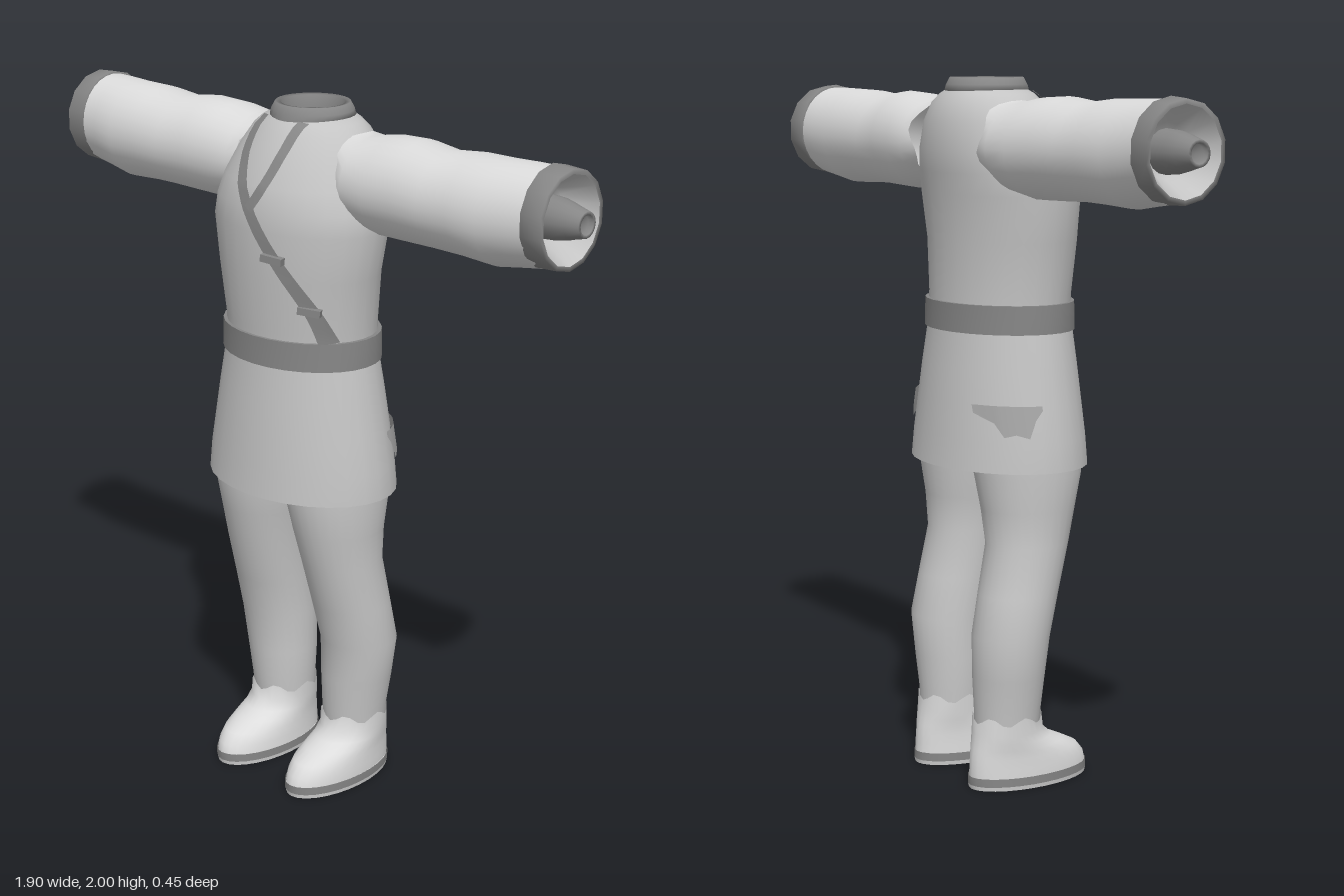
import * as THREE from 'three';

const mat = (name, color) => {
  const m = new THREE.MeshStandardMaterial({ color, side: THREE.DoubleSide });
  m.name = name;
  return m;
};

// Grid of points (rows of equal length) to a smooth surface
function grid(rows, closed) {
  const n = rows[0].length, pos = rows.flat(2), idx = [];
  for (let i = 0; i < rows.length - 1; i++) {
    for (let j = 0; j < (closed ? n : n - 1); j++) {
      const k = (j + 1) % n, a = i * n + j, b = i * n + k, c = a + n, d = b + n;
      idx.push(a, c, b, b, c, d);
    }
  }
  const g = new THREE.BufferGeometry();
  g.setAttribute('position', new THREE.Float32BufferAttribute(pos, 3));
  g.setIndex(idx);
  g.computeVertexNormals();
  return g;
}

// Oval sections [along, u0, u1, v0, v1]; axis y uses u = x, v = z; axis x uses u = y, v = z
function loft(rings, axis = 'y', wave = () => 0, sides = 28) {
  return grid(rings.map(([t, u0, u1, v0, v1], i) =>
    Array.from({ length: sides }, (_, j) => {
      const a = (j / sides) * Math.PI * 2, s = t + wave(i, a);
      const u = (u0 + u1) / 2 + (u1 - u0) / 2 * Math.cos(a);
      const dv = (v1 - v0) / 2 * Math.sin(a), v = (v0 + v1) / 2;
      return axis === 'y' ? [u, s, v + dv] : [s, u, v - dv];
    })), true);
}

// Symmetric body sections: [y, half width, back z, front z]
const sym = list => list.map(([y, w, b, f]) => [y, -w, w, b, f]);
const torsoRings = sym([
  [1.30, .235, -.18, .185], [1.40, .237, -.177, .19], [1.55, .255, -.177, .203],
  [1.68, .278, -.188, .205], [1.74, .270, -.197, .20], [1.80, .25, -.205, .185],
  [1.88, .212, -.20, .145], [1.93, .18, -.18, .11], [1.955, .15, -.16, .088], [1.97, .11, -.145, .07],
]);
const skirtRings = sym([
  [.92, .305, -.222, .228], [1.0, .298, -.215, .222], [1.1, .28, -.205, .213],
  [1.2, .262, -.195, .204], [1.31, .24, -.182, .193],
]);

// Section of a lofted body at height y
function sectionAt(rings, y) {
  let i = 0;
  while (i < rings.length - 2 && rings[i + 1][0] < y) i++;
  const t = THREE.MathUtils.clamp((y - rings[i][0]) / (rings[i + 1][0] - rings[i][0]), 0, 1);
  return rings[i].map((v, k) => THREE.MathUtils.lerp(v, rings[i + 1][k], t));
}
function frontZ(x, y) {
  const [, , w, b, f] = sectionAt(torsoRings, y);
  return (b + f) / 2 + (f - b) / 2 * Math.sqrt(Math.max(0, 1 - (x / w) ** 2));
}
function sideX(y, z) {
  const [, , w, b, f] = sectionAt(skirtRings, y);
  return w * Math.sqrt(Math.max(0, 1 - ((z - (b + f) / 2) / ((f - b) / 2)) ** 2));
}

export function createModel() {
  const root = new THREE.Group();
  root.name = 'outfit';
  const pale = mat('paleCloth', 0xdcdcdc), tunic = mat('tunicCloth', 0xc4c4c4);
  const trouser = mat('trouserCloth', 0xc8c8c8), trim = mat('darkTrim', 0x868686);
  const patch = mat('pocketCloth', 0xa6a6a6);
  const add = (parent, name, geo, m) => {
    const mesh = new THREE.Mesh(geo, m);
    mesh.name = name;
    parent.add(mesh);
    return mesh;
  };

  // Tunic, belt and collar
  add(root, 'tunic', loft(torsoRings), tunic);
  add(root, 'skirt', loft(skirtRings), tunic);
  const belt = sym([[1.30, .25, -.19, .2], [1.38, .248, -.188, .198]]);
  add(root, 'belt', loft(belt), trim);
  for (const [i, s] of [[0, 1], [1, -1]]) {
    const r = belt[i], inner = r.map((v, k) => (k ? v * .93 : v));
    add(root, 'beltEdge', loft(s > 0 ? [inner, r] : [r, inner]), trim);
  }
  add(root, 'collar', loft(sym([
    [1.945, .10, -.14, .085], [1.965, .12, -.155, .08], [1.98, .117, -.15, .075],
    [2.0, .105, -.14, .065], [1.998, .09, -.125, .05], [1.95, .088, -.122, .048],
  ])), trim);

  // Straps lying on the chest
  const strap = (name, pts, width) => {
    const curve = new THREE.CatmullRomCurve3(pts.map(([x, y]) => new THREE.Vector3(x, y, 0)));
    const rows = [];
    for (let i = 0; i <= 24; i++) {
      const p = curve.getPoint(i / 24), d = curve.getTangent(i / 24);
      rows.push([-1, 0, 1].map(s => {
        const x = p.x + d.y * s * width / 2, y = p.y - d.x * s * width / 2;
        return [x, y, frontZ(x, y) + .014];
      }));
    }
    add(root, name, grid(rows, false), trim);
  };
  strap('longStrap', [[-.085, 1.965], [-.075, 1.89], [-.045, 1.81], [0, 1.74], [.08, 1.63], [.15, 1.53], [.185, 1.46], [.205, 1.38]], .036);
  strap('shortStrap', [[.07, 1.965], [.06, 1.88], [.035, 1.8], [0, 1.74]], .03);
  for (const [x, y] of [[.09, 1.617], [.178, 1.477]]) {
    const knot = add(root, 'strapKnot', new THREE.BoxGeometry(.065, .02, .022), trim);
    knot.position.set(x, y, frontZ(x, y) + .018);
    knot.rotation.set(0, Math.atan(x * 3), -.1);
  }

  // Limbs are built on the +x side and mirrored
  for (const side of [1, -1]) {
    const half = new THREE.Group();
    half.name = side > 0 ? 'leftSide' : 'rightSide';
    half.scale.x = side;
    root.add(half);

    // Sleeve with a wavy shoulder edge
    add(half, 'sleeve', loft([
      [.175, 1.71, 1.94, -.18, .075], [.22, 1.69, 1.935, -.19, .09], [.30, 1.675, 1.95, -.186, .095],
      [.40, 1.677, 1.955, -.178, .098], [.50, 1.68, 1.943, -.17, .10], [.60, 1.678, 1.953, -.172, .10],
      [.70, 1.673, 1.955, -.166, .10], [.78, 1.685, 1.957, -.163, .088], [.85, 1.695, 1.957, -.16, .08],
    ], 'x', (i, a) => (i === 0 ? .018 * Math.cos(5 * a) : 0)), pale);
    add(half, 'cuff', loft([
      [.835, 1.70, 1.955, -.155, .075], [.835, 1.692, 1.965, -.168, .086],
      [.90, 1.695, 1.96, -.17, .085], [.90, 1.708, 1.947, -.157, .072],
    ], 'x', undefined, 14), trim);
    add(half, 'cuffLining', loft([
      [.90, 1.708, 1.947, -.157, .072], [.82, 1.755, 1.90, -.112, .032], [.80, 1.827, 1.827, -.04, -.04],
    ], 'x', undefined, 14), tunic);
    // Wrist stub inside the cuff
    const stub = add(half, 'wristStub', new THREE.LatheGeometry([
      [.06, .79], [.055, .87], [.047, .905], [.045, .91], [.035, .95], [.026, .95], [.024, .935], [0, .935],
    ].map(p => new THREE.Vector2(...p)), 16), trim);
    stub.rotation.z = -Math.PI / 2;
    stub.position.set(0, 1.826, -.04);

    // Trouser leg
    add(half, 'trouserLeg', loft([
      [.12, .06, .23, -.16, .02], [.22, .053, .24, -.163, .03], [.32, .048, .258, -.17, .036],
      [.44, .05, .276, -.176, .045], [.56, .046, .27, -.153, .078], [.70, .04, .265, -.124, .117],
      [.80, .024, .268, -.135, .143], [.90, .006, .278, -.153, .166], [1.0, 0, .272, -.165, .172],
    ]), trouser);

    // Boot and sole
    add(half, 'boot', loft([
      [.034, .05, .24, -.187, .197], [.06, .051, .24, -.186, .19], [.09, .053, .238, -.184, .165],
      [.115, .055, .237, -.18, .115], [.135, .055, .237, -.176, .07], [.16, .054, .237, -.172, .042],
      [.20, .05, .24, -.167, .034],
    ], 'y', (i, a) => (i === 6 ? .012 * Math.cos(6 * a) : 0)), pale);
    add(half, 'sole', loft([[.012, .047, .243, -.19, .2], [.036, .047, .243, -.19, .2]]), trim);
    add(half, 'soleBase', loft([[0, .05, .24, -.187, .197], [.012, .047, .243, -.19, .2]]), pale);
    add(half, 'soleBottom', loft([[0, .145, .145, .005, .005], [0, .05, .24, -.187, .197]]), pale);

    // Hip pocket flap with a ragged lower edge
    const hem = [[-.18, 1.085], [-.15, 1.06], [-.135, 1.022], [-.11, 1.03], [-.08, 1.02], [-.06, 1.07], [-.04, 1.095]];
    add(half, 'hipPocket', grid([0, .5, 1].map(t => hem.map(([z, y0]) => {
      const y = THREE.MathUtils.lerp(y0, 1.108, t);
      return [sideX(y, z) + .012, y, z - .003];
    })), false), patch);
  }
  return root;
}
